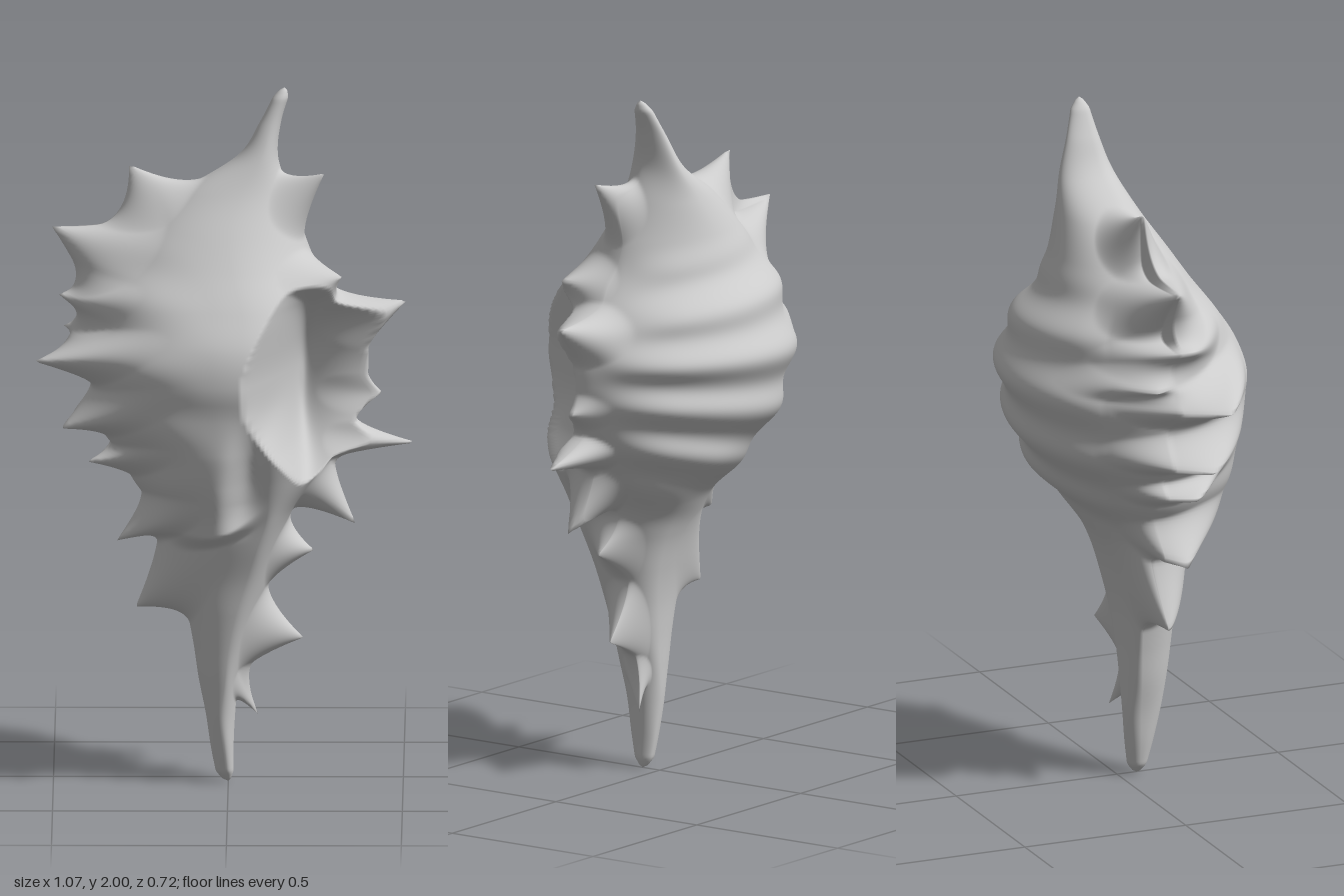
import * as THREE from 'three';

const ROWS = 290, SIDES = 220;
const { smoothstep, degToRad } = THREE.MathUtils;

// One row per 0.1 of height: min x, max x, front z, back z, x of the front crest
const PROFILE = [
  -0.03, 0.015, 0.08, 0.035, 0,
  -0.05, 0.015, 0.105, 0.02, -0.01,
  -0.065, 0.02, 0.125, 0.01, -0.02,
  -0.085, 0.03, 0.145, 0.005, -0.01,
  -0.10, 0.06, 0.16, 0, 0,
  -0.12, 0.09, 0.175, -0.01, 0.02,
  -0.15, 0.12, 0.19, -0.03, 0.05,
  -0.18, 0.15, 0.215, -0.06, 0.08,
  -0.22, 0.19, 0.24, -0.11, 0.11,
  -0.28, 0.27, 0.275, -0.195, 0.11,
  -0.34, 0.34, 0.32, -0.26, 0.07,
  -0.38, 0.385, 0.35, -0.305, 0.045,
  -0.40, 0.40, 0.365, -0.33, 0.04,
  -0.39, 0.39, 0.345, -0.33, 0.04,
  -0.37, 0.32, 0.28, -0.29, 0.04,
  -0.32, 0.25, 0.20, -0.235, 0.01,
  -0.24, 0.21, 0.13, -0.20, 0,
  -0.13, 0.175, 0.065, -0.17, 0.03,
  0.025, 0.142, 0.02, -0.14, 0.09,
  0.09, 0.15, -0.01, -0.105, 0.12,
  0.14, 0.18, -0.03, -0.07, 0.16,
];

// Spines: tip x, y, z, then base height, base angle, height reach, angle reach
const SPINES = [
  // left side
  [-0.28, 1.775, -0.04, 1.65, 180, 0.09, 40],
  [-0.505, 1.60, -0.02, 1.51, 180, 0.10, 45],
  [-0.48, 1.41, 0.02, 1.38, 178, 0.07, 45],
  [-0.54, 1.235, 0.12, 1.24, 165, 0.08, 45],
  [-0.47, 1.30, -0.07, 1.31, 195, 0.06, 45],
  [-0.47, 1.035, 0.10, 1.08, 165, 0.08, 55],
  [-0.405, 0.935, 0.08, 0.94, 168, 0.06, 45],
  [-0.32, 0.705, 0.08, 0.78, 170, 0.08, 50],
  [-0.265, 0.505, 0.05, 0.61, 180, 0.17, 70],
  // right side and lip
  [0.275, 1.765, 0.03, 1.67, 15, 0.10, 40],
  [0.325, 1.48, 0.11, 1.47, 25, 0.08, 35],
  [0.51, 1.385, -0.02, 1.34, 0, 0.09, 30],
  [0.44, 1.12, -0.01, 1.12, 0, 0.06, 25],
  [0.54, 0.975, 0, 0.99, 0, 0.06, 25],
  [0.365, 0.75, 0.06, 0.87, 5, 0.08, 30],
  [0.245, 0.67, 0.04, 0.67, 0, 0.11, 50],
  [0.215, 0.41, 0.02, 0.44, 0, 0.14, 60],
  [0.085, 0.185, 0.01, 0.29, 0, 0.06, 50],
];

const levels = new THREE.CubicInterpolant(
  Array.from({ length: 21 }, (_, i) => i / 10), PROFILE, 5, new Float32Array(5));

// Smooth whorl before spines: four quarter curves around a crest line
function bodyPoint(a, y) {
  const [xl, xr, zf, zb, crest] = levels.evaluate(y);
  const cz = THREE.MathUtils.clamp(0.06 - 0.055 * y, zb + 0.01, zf - 0.01);
  const end = Math.sqrt(Math.min(1, Math.min(y, 2 - y) / 0.03));
  const c = Math.cos(a), s = Math.sin(a);
  // The back crest lies further left than the front one
  const middle = smoothstep(y, 0.5, 0.9) * (1 - smoothstep(y, 1.4, 1.7));
  const cx = s < 0 ? crest - 0.08 * middle : crest;
  // The back right is pinched towards the lip, the front left is fuller
  const power = s < 0 && c > 0 ? 1.25 : s > 0 && c < 0 ? 0.88 : 1;
  const sz = Math.sign(s) * Math.pow(Math.abs(s), power);
  return new THREE.Vector3(
    cx + end * c * (c > 0 ? xr - cx : cx - xl), y,
    cz + end * sz * (s > 0 ? zf - cz : cz - zb));
}

const angleGap = (a, b) => Math.abs(Math.atan2(Math.sin(a - b), Math.cos(a - b)));

const spines = SPINES.map(([x, y, z, by, deg, ry, ra]) => {
  const angle = degToRad(deg), base = bodyPoint(angle, by);
  return { angle, base, ry, ra: degToRad(ra), push: new THREE.Vector3(x, y, z).sub(base) };
});

function shellPoint(a, y) {
  const p = bodyPoint(a, y);
  const x0 = p.x, s = Math.sin(a), c = Math.cos(a);

  // Soft cords across the back, fanning out towards the left
  const wave = 0.5 + 0.5 * Math.cos(((y - 1.3) / (1 - 0.7 * x0) + 0.05) * 2 * Math.PI / 0.16);
  const zone = smoothstep(y, 0.7, 1.0) * (1 - smoothstep(y, 1.42, 1.6));
  const side = Math.max(smoothstep(-s, 0.2, 0.8), 0.6 * smoothstep(-c, 0.2, 0.8));
  const cord = 0.025 * wave * zone * side;
  p.x += c * cord;
  p.z += s * cord;

  // Old lip fold hanging on the front, with a groove beside the inner lip
  if (s > 0) {
    const rim = 0.70 + 2.5 * (x0 + 0.08) ** 2;
    const fold = smoothstep(y, rim, rim + 0.05) * (1 - smoothstep(y, 0.82, 1.15));
    p.z += 0.09 * fold * s * Math.exp(-(((x0 + 0.08) / 0.13) ** 4));
    const groove = smoothstep(y, 0.72, 0.85) * (1 - smoothstep(y, 0.95, 1.2));
    p.z -= 0.03 * groove * s * Math.exp(-(((x0 - 0.2 * y + 0.14) / 0.045) ** 2));
  }

  // Aperture: a bowl between the inner and outer lip
  const d = Math.hypot(angleGap(a, degToRad(46)) / degToRad(44), (y - 1.175) / 0.28);
  if (d < 1) {
    const f = 0.74 * (1 - Math.pow(d, 2.6));
    p.x += (0.18 - p.x) * f;
    p.z += (-0.13 - p.z) * f;
  }

  // Spines drawn out of the wall with flared roots and slanting folds
  for (const { angle, base, ry, ra, push } of spines) {
    const left = push.x < 0 && base.y < 1.6;
    const slope = left ? (s > 0 ? 0.4 : 0.7 * (1.3 - base.y)) : 0;
    const dy = (y - base.y - slope * (x0 - base.x)) / ry;
    const w = 1 - Math.hypot(dy, angleGap(a, angle) / ra);
    if (w > 0) p.addScaledVector(push, Math.pow(w, 1.6));
  }
  return p;
}

export function createModel() {
  const position = [], index = [];
  for (let i = 0; i <= ROWS; i++) {
    for (let j = 0; j < SIDES; j++) {
      const p = shellPoint(j / SIDES * Math.PI * 2, 2 * i / ROWS);
      position.push(p.x, p.y, p.z);
      if (i === ROWS) continue;
      const a = i * SIDES + j, b = i * SIDES + (j + 1) % SIDES;
      index.push(a, a + SIDES, b, b, a + SIDES, b + SIDES);
    }
  }
  const geometry = new THREE.BufferGeometry();
  geometry.setAttribute('position', new THREE.Float32BufferAttribute(position, 3));
  geometry.setIndex(index);
  geometry.computeVertexNormals();

  const shell = new THREE.Mesh(geometry, new THREE.MeshStandardMaterial({
    color: 0xcccccc, side: THREE.DoubleSide }));
  shell.name = 'spinyShell';
  const group = new THREE.Group();
  group.name = 'seaShell';
  group.add(shell);
  return group;
}
